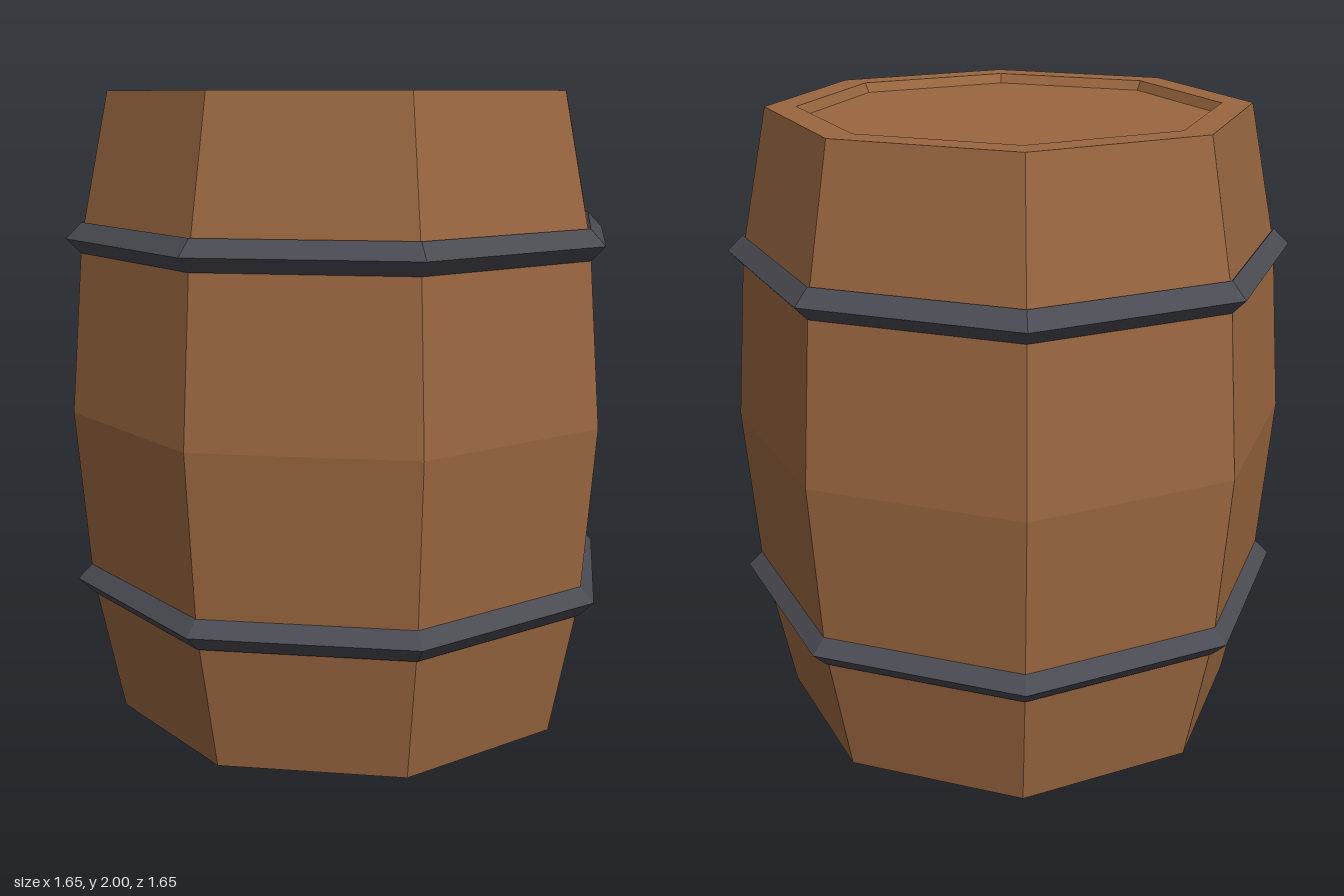
import * as THREE from 'three';

const SIDES = 8;
const APOTHEM = Math.cos(Math.PI / SIDES);

// Turns a profile of [flat-to-centre distance, height] into an octagonal solid
function octagonal(name, profile, material) {
  const points = profile.map(([r, y]) => new THREE.Vector2(r / APOTHEM, y));
  const geometry = new THREE.LatheGeometry(points, SIDES, Math.PI / SIDES);
  const mesh = new THREE.Mesh(geometry, material);
  mesh.name = name;
  return mesh;
}

export function createModel() {
  const group = new THREE.Group();
  group.name = 'barrel';
  const wood = new THREE.MeshStandardMaterial({ color: 0x9a6740, flatShading: true });
  const iron = new THREE.MeshStandardMaterial({ color: 0x4a4a52, flatShading: true });

  // Bulging body with a flat base and a shallow recessed lid
  group.add(octagonal('body', [
    [0, 0], [0.695, 0], [0.78, 0.45], [0.82, 1], [0.78, 1.55], [0.695, 2],
    [0.605, 2], [0.59, 1.97], [0, 1.97],
  ], wood));

  // Diamond-section hoops
  const hoop = [[0.779, -0.05], [0.825, 0], [0.779, 0.05], [0.733, 0], [0.779, -0.05]];
  for (const [name, y] of [['lowerHoop', 0.45], ['upperHoop', 1.55]]) {
    const mesh = octagonal(name, hoop, iron);
    mesh.position.y = y;
    group.add(mesh);
  }
  return group;
}
